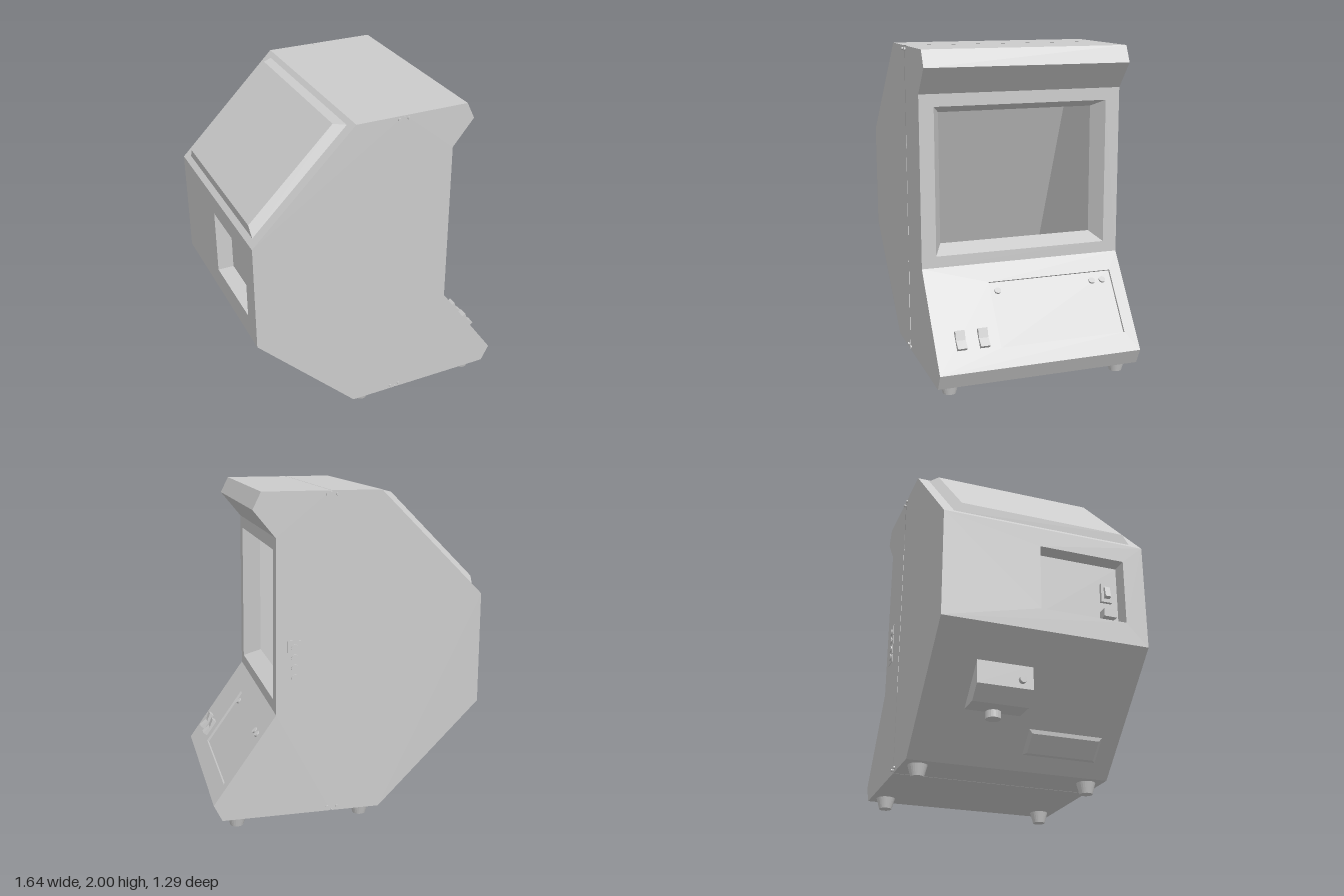
import * as THREE from 'three';

const grey = new THREE.MeshStandardMaterial({ color: 0xcccccc, flatShading: true, side: THREE.DoubleSide });
const W = 0.635; // half width of the cabinet

function add(parent, name, geometry, x = 0, y = 0, z = 0) {
  const mesh = new THREE.Mesh(geometry, grey);
  mesh.name = name;
  mesh.position.set(x, y, z);
  parent.add(mesh);
  return mesh;
}

const shapeOf = (pts) => new THREE.Shape(pts.map(([x, y]) => new THREE.Vector2(x, y)));

// rectangle [u0, v0, u1, v1] as four corners, counter-clockwise
const corners = ([u0, v0, u1, v1]) => [[u0, v0], [u1, v0], [u1, v1], [u0, v1]];

// flat panel with rectangular openings
function panel(rect, holes = []) {
  const shape = shapeOf(corners(rect));
  for (const h of holes) shape.holes.push(new THREE.Path(corners(h).reverse().map(([x, y]) => new THREE.Vector2(x, y))));
  return new THREE.ShapeGeometry(shape);
}

// sloped walls from one rectangle to another, raised or sunk, with optional cap
function frustum(r0, w0, r1, w1, cap = true) {
  const a = corners(r0).map((p) => [...p, w0]);
  const b = corners(r1).map((p) => [...p, w1]);
  const pos = [];
  const quad = (p, q, r, s) => pos.push(...p, ...q, ...r, ...p, ...r, ...s);
  for (let i = 0; i < 4; i++) {
    const j = (i + 1) % 4;
    quad(a[i], a[j], b[j], b[i]);
  }
  if (cap) quad(...b);
  const g = new THREE.BufferGeometry();
  g.setAttribute('position', new THREE.Float32BufferAttribute(pos, 3));
  g.computeVertexNormals();
  return g;
}

// extrude a side profile across the width from z0 to z1
function slab(pts, z0, z1) {
  const g = new THREE.ExtrudeGeometry(shapeOf(pts), { depth: z1 - z0, bevelEnabled: false });
  return g.translate(0, 0, z0);
}

// group lying on the edge a-b: local x = -z, local y = along the edge, local z = outward
function edgeGroup(parent, name, a, b) {
  const d = new THREE.Vector3(b[0] - a[0], b[1] - a[1], 0);
  const length = d.length();
  d.normalize();
  const g = new THREE.Group();
  g.name = name;
  g.applyMatrix4(new THREE.Matrix4().makeBasis(new THREE.Vector3(0, 0, -1), d, new THREE.Vector3(d.y, -d.x, 0)));
  g.position.set(a[0], a[1], 0);
  parent.add(g);
  return { g, length };
}

export function createModel() {
  const model = new THREE.Group();
  model.name = 'terminal';

  // side profiles of the two shell halves, split by a seam
  const front = [[0.111, 0.07], [0.77, 0.07], [0.82, 0.17], [0.44, 0.7], [0.43, 1.74], [0.56, 1.9], [0.51, 2], [0.111, 2]];
  const rear = [[0.103, 2], [-0.19, 2], [-0.82, 1.37], [-0.82, 0.7], [-0.19, 0.07], [0.103, 0.07]];

  const bezelOuter = [-0.545, 0.07, 0.545, 0.965];
  const bezelInner = [-0.49, 0.12, 0.49, 0.92];
  const trayRect = [-0.24, 0.123, 0.56, 0.53];
  const socketRect = [-0.5, 0.12, 0.04, 0.53];
  const openings = { controlFace: [trayRect], screenFace: [bezelOuter], backFace: [socketRect] };
  const frontNames = ['frontBase', 'lowerLip', 'controlFace', 'screenFace', 'hoodUnderside', 'hoodFront', 'frontTop'];
  const rearNames = ['rearTop', 'upperSlope', 'backFace', 'lowerSlope', 'rearBase'];
  // hoodUnderside is the edge that leans out above the screen
  const faces = {};
  for (const [pts, names] of [[front, frontNames], [rear, rearNames]]) {
    names.forEach((name, i) => {
      const { g, length } = edgeGroup(model, name, pts[i], pts[i + 1]);
      add(g, name + 'Panel', panel([-W, 0, W, length], openings[name]));
      faces[name] = g;
    });
    for (const s of [-1, 1]) add(model, 'sidePanel', new THREE.ShapeGeometry(shapeOf(pts)), 0, 0, s * W);
  }

  // seam liner just under the skin
  for (const y of [0.08, 1.99]) add(model, 'seamLiner', new THREE.BoxGeometry(0.03, 0.006, 1.25), 0.107, y, 0);
  for (const s of [-1, 1]) add(model, 'seamLiner', new THREE.BoxGeometry(0.03, 1.91, 0.006), 0.107, 1.035, s * (W - 0.01));

  // screen bezel and the deep cavity behind it
  add(faces.screenFace, 'screenBezel', frustum(bezelOuter, 0, bezelInner, -0.11, false));
  const cavity = [[0.33, 1.73], [-0.08, 1.64], [-0.57, 0.48], [0.33, 0.48]];
  ['cavityCeiling', 'screenBack', 'cavityFloor'].forEach((name, i) => {
    const { g, length } = edgeGroup(model, name, cavity[i], cavity[i + 1]);
    add(g, name + 'Panel', panel([-0.495, 0, 0.495, length]));
  });
  for (const s of [-1, 1]) add(model, 'cavityWall', new THREE.ShapeGeometry(shapeOf(cavity)), 0, 0, s * 0.495);

  // sunken control plate with small finger marks
  add(faces.controlFace, 'controlPlate', frustum(trayRect, 0, trayRect, -0.015));
  for (const u of [-0.19, 0.43, 0.5]) {
    const mark = add(faces.controlFace, 'plateButton', new THREE.CylinderGeometry(0.02, 0.02, 0.012, 16), u, 0.475, -0.012);
    mark.rotation.x = Math.PI / 2 - 0.25;
  }

  // rocker switches
  const rocker = [[0.66, 0.36], [0.7, 0.39], [0.72, 0.335], [0.765, 0.3], [0.735, 0.275]];
  for (const z of [0.34, 0.48]) add(model, 'rockerSwitch', slab(rocker, z - 0.029, z + 0.029));

  // raised hatch on the upper rear slope
  add(faces.upperSlope, 'rearHatch', frustum([-0.565, 0.035, 0.565, 0.85], 0, [-0.52, 0.08, 0.52, 0.81], 0.046));

  // socket recess on the back with power switch and plug
  add(faces.backFace, 'socketRecess', frustum(socketRect, 0, socketRect, -0.1));
  add(faces.backFace, 'switchPlate', new THREE.BoxGeometry(0.07, 0.12, 0.02), -0.42, 0.31, -0.09);
  const lever = add(faces.backFace, 'powerSwitch', new THREE.BoxGeometry(0.035, 0.07, 0.03), -0.42, 0.31, -0.075);
  lever.rotation.x = 0.2;
  add(faces.backFace, 'powerPlug', new THREE.BoxGeometry(0.08, 0.05, 0.06), -0.42, 0.46, -0.07);

  // housing, knob and cover below the lower rear slope
  add(model, 'rearHousing', slab([[-0.66, 0.55], [-0.66, 0.4], [-0.58, 0.32], [-0.41, 0.32], [-0.41, 0.33]], -0.37, -0.03));
  add(model, 'housingKnob', new THREE.CylinderGeometry(0.022, 0.022, 0.03, 16).rotateZ(Math.PI / 2), -0.673, 0.45, -0.1);
  add(model, 'housingSocket', new THREE.CylinderGeometry(0.046, 0.046, 0.05, 20), -0.452, 0.3, -0.2);
  add(faces.lowerSlope, 'lowerCover', frustum([-0.52, 0.61, -0.05, 0.78], 0, [-0.5, 0.63, -0.07, 0.76], 0.014));

  // connector strip on the right side
  add(model, 'connectorPlate', new THREE.BoxGeometry(0.085, 0.27, 0.006), 0.325, 1.01, -W);
  for (let i = 0; i < 4; i++) {
    add(model, 'connector', new THREE.CylinderGeometry(0.022, 0.022, 0.014, 16).rotateX(Math.PI / 2), 0.325, 0.92 + i * 0.06, -W - 0.003);
  }

  // seam screws and feet
  for (const s of [-1, 1]) {
    for (const x of [0.073, 0.132]) for (const y of [0.095, 1.98]) {
      add(model, 'screw', new THREE.CylinderGeometry(0.009, 0.009, 0.02, 12).rotateX(Math.PI / 2), x, y, s * W);
    }
    for (const x of [-0.095, 0.672]) add(model, 'foot', new THREE.CylinderGeometry(0.06, 0.04, 0.072, 24), x, 0.036, s * 0.54);
  }
  return model;
}
